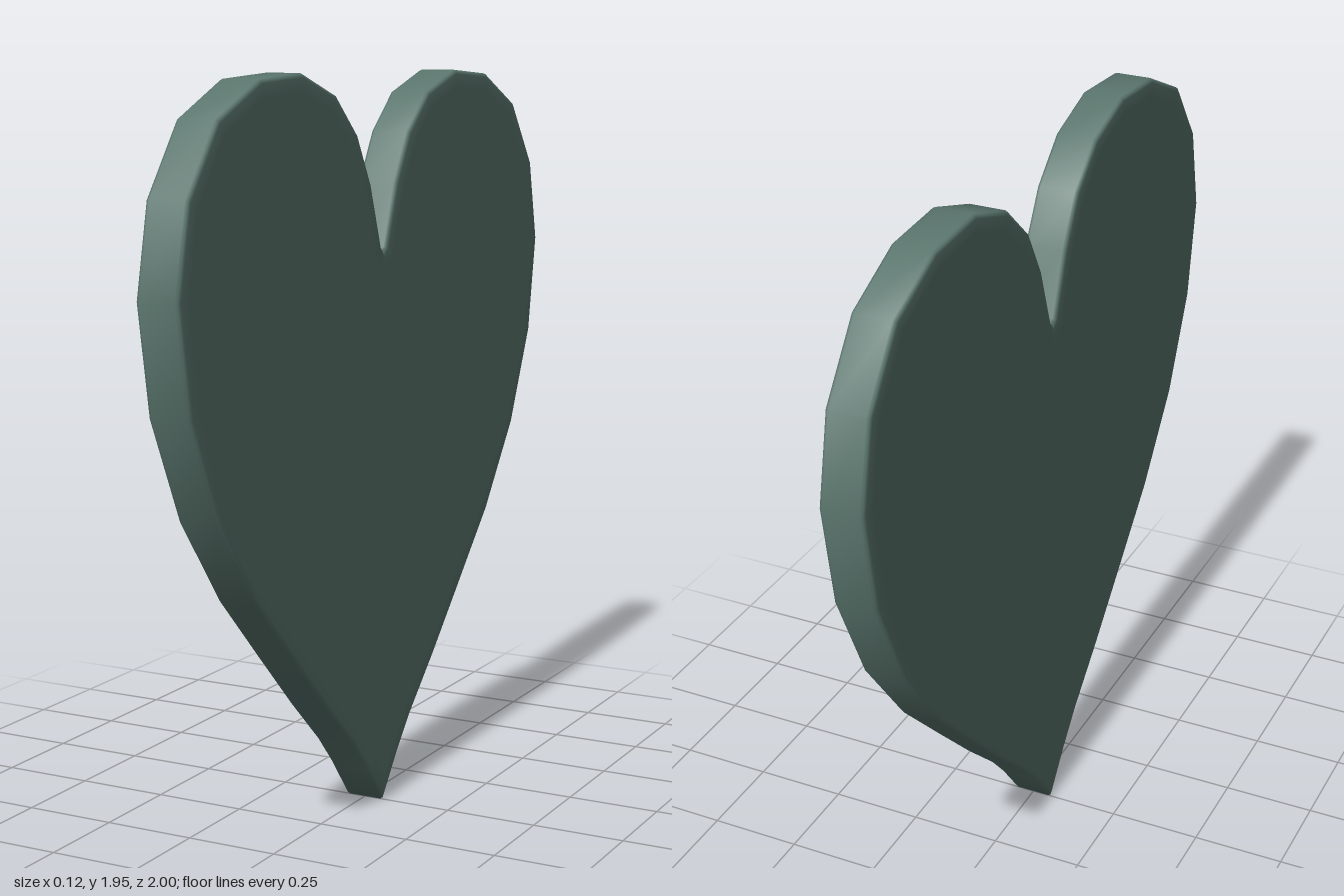
import * as THREE from 'three';

// right half of the heart outline, from bottom tip up to the notch
const HALF = [
  [0, 0], [0.09, 0.115], [0.166, 0.2], [0.31, 0.335], [0.48, 0.505], [0.66, 0.687],
  [0.834, 0.917], [0.955, 1.18], [1, 1.452], [0.952, 1.677], [0.82, 1.853], [0.628, 1.94],
  [0.428, 1.952], [0.257, 1.896], [0.143, 1.794], [0.07, 1.666], [0.012, 1.5], [0, 1.49],
];

// rounded rim: [depth, inset from the outline], front to back
const RIM = [[0.0575, 0.045], [0.0575, 0.011], [0.054, 0.003], [0.047, 0],
  [-0.047, 0], [-0.054, 0.003], [-0.0575, 0.011], [-0.0575, 0.045]];

// move every outline point inwards along its corner bisector
function inset(points, d) {
  const n = points.length;
  return points.map((p, i) => {
    const a = p.clone().sub(points[(i + n - 1) % n]).normalize();
    const b = points[(i + 1) % n].clone().sub(p).normalize();
    const n1 = new THREE.Vector2(-a.y, a.x), n2 = new THREE.Vector2(-b.y, b.x);
    const mid = n1.clone().add(n2).normalize();
    return p.clone().addScaledVector(mid, d / Math.max(mid.dot(n1), 0.6));
  });
}

function heartGeometry() {
  const outline = [...HALF, ...HALF.slice(1, -1).reverse().map(([x, y]) => [-x, y])]
    .map(([x, y]) => new THREE.Vector2(x, y));
  const n = outline.length, pos = [], index = [];

  // rim rings
  RIM.forEach(([z, d], r) => {
    inset(outline, d).forEach(p => pos.push(p.x, p.y, z));
    if (r === RIM.length - 1) return;
    for (let i = 0; i < n; i++) {
      const a = r * n + i, b = r * n + (i + 1) % n;
      index.push(a, a + n, b + n, a, b + n, b);
    }
  });

  // flat faces on both sides
  const last = (RIM.length - 1) * n;
  for (const [a, b, c] of THREE.ShapeUtils.triangulateShape(inset(outline, RIM[0][1]), [])) {
    index.push(a, b, c, last + a, last + c, last + b);
  }

  const geo = new THREE.BufferGeometry();
  geo.setAttribute('position', new THREE.Float32BufferAttribute(pos, 3));
  geo.setIndex(index);
  geo.rotateY(Math.PI / 2);
  geo.computeVertexNormals();
  return geo;
}

export function createModel() {
  const group = new THREE.Group();
  group.name = 'heart';
  const plate = new THREE.Mesh(heartGeometry(), new THREE.MeshStandardMaterial({ color: 0x5b766e }));
  plate.name = 'heartPlate';
  group.add(plate);
  return group;
}
